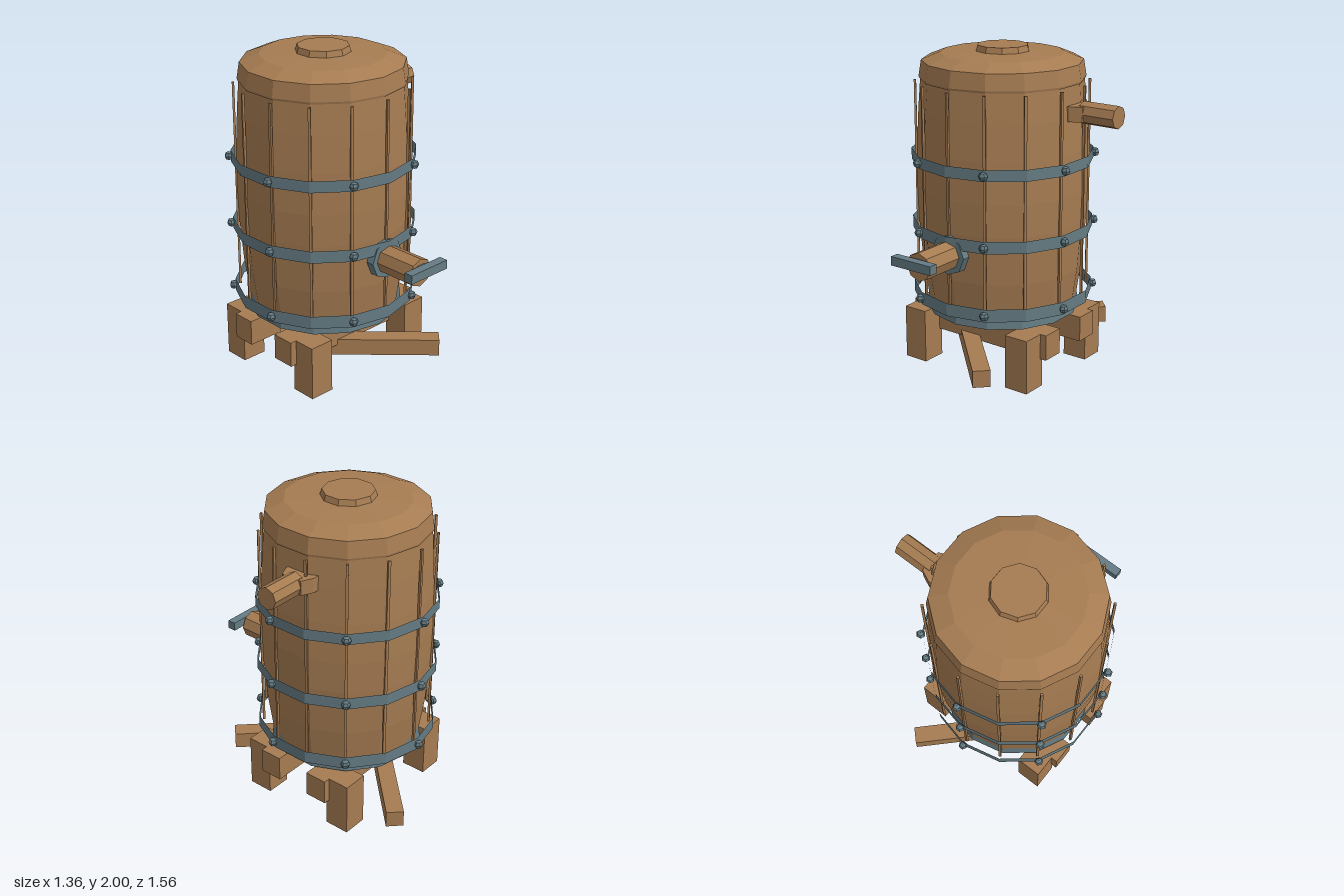
import * as THREE from 'three';

const CX = -0.105, CZ = -0.09, SIDES = 14;

export function createModel() {
  const root = new THREE.Group();
  const material = (color, side = THREE.FrontSide) =>
    new THREE.MeshStandardMaterial({ color, flatShading: true, side });
  const wood = material(0xa67c52);
  const steel = material(0x647b83);
  const thinSteel = material(0x647b83, THREE.DoubleSide);

  const add = (name, geometry, mat, x, y, z, parent = root) => {
    const mesh = new THREE.Mesh(geometry, mat);
    mesh.name = name;
    mesh.position.set(x, y, z);
    parent.add(mesh);
    return mesh;
  };
  const box = (w, h, d) => new THREE.BoxGeometry(w, h, d);
  const lathe = (pts, n = SIDES) =>
    new THREE.LatheGeometry(pts.map(([r, y]) => new THREE.Vector2(r, y)), n);

  // Everything round the barrel axis lives in this group
  const barrel = new THREE.Group();
  barrel.name = 'barrel';
  barrel.position.set(CX, 0, CZ);
  root.add(barrel);

  // Bulging body
  add('barrelBody', lathe([
    [0, 0.4], [0.462, 0.4], [0.497, 0.65], [0.52, 0.95], [0.525, 1.15],
    [0.52, 1.4], [0.508, 1.62], [0.493, 1.81], [0, 1.81],
  ]), wood, 0, 0, 0, barrel);

  // Metal foot under the body
  add('barrelFoot', lathe([[0, 0.36], [0.475, 0.36], [0.465, 0.45], [0, 0.45]]), steel, 0, 0, 0, barrel);

  // Domed lid and its knob
  add('lid', lathe([
    [0, 1.8], [0.5, 1.8], [0.503, 1.812], [0.487, 1.91], [0.375, 1.955], [0, 1.972],
  ]), wood, 0, 0, 0, barrel);
  add('lidKnob', new THREE.CylinderGeometry(0.155, 0.167, 0.04, 10), wood, 0, 1.98, 0, barrel);

  // Straight battens at the corners of the body
  for (let i = 0; i < SIDES; i++) {
    const a = (i / SIDES) * Math.PI * 2;
    const batten = add('batten', box(0.016, 1.3, 0.014), wood,
      Math.sin(a) * 0.525, 1.14, Math.cos(a) * 0.525, barrel);
    batten.rotation.y = a;
  }

  // Open hoops with seven bolts each
  for (const [y, h] of [[0.48, 0.08], [0.9025, 0.075], [1.335, 0.07]]) {
    add('hoop', new THREE.CylinderGeometry(0.555, 0.555, h, SIDES, 1, true), thinSteel, 0, y, 0, barrel);
    for (let i = 0; i < 7; i++) {
      const a = Math.PI + (i / 7) * Math.PI * 2;
      const bolt = add('bolt', new THREE.SphereGeometry(0.028, 6, 4), steel,
        Math.sin(a) * 0.565, y, Math.cos(a) * 0.565, barrel);
      bolt.rotation.y = a;
    }
  }

  // Side pipe on a tapered block
  const block = new THREE.Shape([[0.34, 0.1], [0.4, 0.1], [0.47, 0.068], [0.47, -0.068], [0.4, -0.1], [0.34, -0.1]]
    .map(([x, y]) => new THREE.Vector2(x, y)).reverse());
  const blockGeo = new THREE.ExtrudeGeometry(block, { depth: 0.09, bevelEnabled: false });
  blockGeo.rotateX(-Math.PI / 2);
  add('sidePipeBlock', blockGeo, wood, 0, 1.6, -0.158);
  const pipeGeo = new THREE.CylinderGeometry(0.068, 0.068, 0.24, 8);
  pipeGeo.rotateZ(Math.PI / 2);
  add('sidePipe', pipeGeo, wood, 0.555, 1.645, -0.158);

  // Front tap: collar, spout, stem and cross handle
  const collarGeo = new THREE.CylinderGeometry(0.122, 0.122, 0.05, 8);
  collarGeo.rotateX(Math.PI / 2);
  add('tapCollar', collarGeo, steel, CX, 0.82, 0.425);
  const spoutGeo = new THREE.CylinderGeometry(0.087, 0.087, 0.31, 8);
  spoutGeo.rotateX(Math.PI / 2);
  add('tapSpout', spoutGeo, wood, CX, 0.82, 0.555);
  add('tapStem', box(0.055, 0.045, 0.05), steel, CX, 0.848, 0.72);
  add('tapHandle', box(0.295, 0.055, 0.055), steel, CX, 0.848, 0.752);

  // Stand: four legs, two beams and two diagonal braces
  for (const s of [-1, 1]) {
    for (const t of [-1, 1]) {
      add('leg', box(0.16, 0.34, 0.16), wood, CX + s * 0.393, 0.17, CZ + t * 0.314);
    }
    add('beam', box(1.03, 0.16, 0.145), wood, CX, 0.26, CZ + s * 0.182);
    const brace = add('brace', box(0.95, 0.105, 0.106), wood, -0.098, 0.1625, CZ + s * 0.322);
    brace.rotation.y = -s * Math.PI / 4;
  }
  return root;
}
